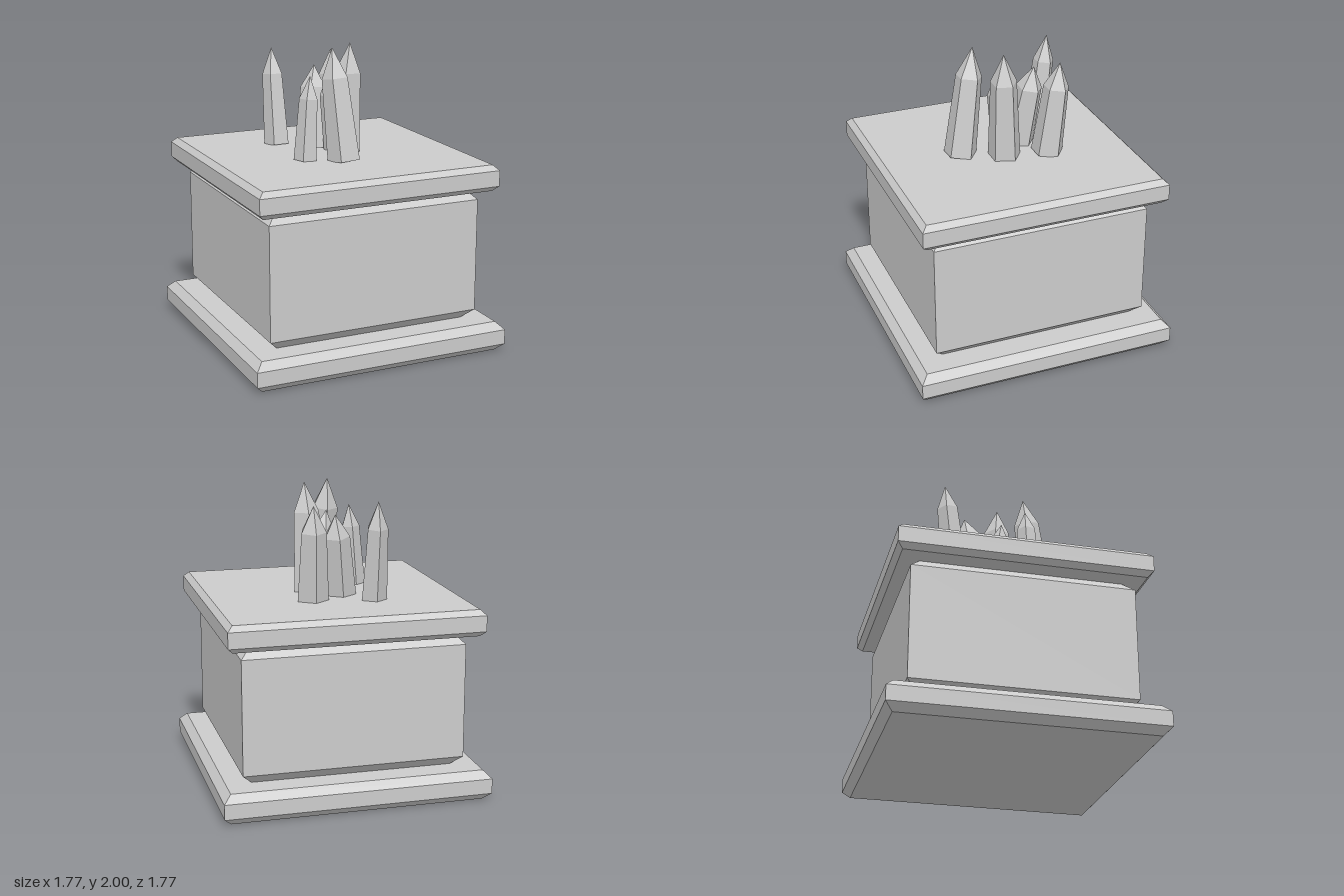
import * as THREE from 'three';

const material = new THREE.MeshStandardMaterial({ color: 0xcccccc, flatShading: true });

// Solid with a regular polygon plan, from [radius, height] pairs listed bottom to top
function facetedSolid(name, profile, sides, start) {
  const points = profile.map(([r, y]) => new THREE.Vector2(r, y));
  const mesh = new THREE.Mesh(new THREE.LatheGeometry(points, sides, start), material);
  mesh.name = name;
  return mesh;
}

// Square slab with chamfered upper and lower edges
function chamferedSlab(name, bottom, top, half, inset, rise) {
  const k = Math.SQRT2;
  return facetedSolid(name, [
    [0, bottom], [(half - inset) * k, bottom], [half * k, bottom + rise],
    [half * k, top - rise], [(half - inset) * k, top], [0, top],
  ], 4, Math.PI / 4);
}

// Five-sided tapering crystal leaning from its base centre to its tip
function crystal(base, tip, radius) {
  const from = new THREE.Vector3(...base);
  const axis = new THREE.Vector3(...tip).sub(from);
  const length = axis.length();
  const mesh = facetedSolid('crystal', [
    [0, 0], [radius, 0], [radius * 0.8, length * 0.73], [0, length],
  ], 5, Math.PI);
  mesh.position.copy(from);
  mesh.quaternion.setFromUnitVectors(new THREE.Vector3(0, 1, 0), axis.normalize());
  return mesh;
}

export function createModel() {
  const model = new THREE.Group();
  model.name = 'crystalPedestal';

  // Pedestal
  model.add(
    chamferedSlab('plinth', 0, 0.2, 0.885, 0.05, 0.05),
    chamferedSlab('pedestalBody', 0.2, 1.095, 0.735, 0.067, 0.067),
    chamferedSlab('capSlab', 1.095, 1.27, 0.835, 0.035, 0.035),
  );

  // Crystal cluster: base x, z, then tip x, y, z, then base radius
  const cluster = new THREE.Group();
  cluster.name = 'crystalCluster';
  for (const [x, z, tx, ty, tz, r] of [
    [-0.012, 0.283, -0.055, 2.0, 0.175, 0.113],
    [0.113, 0.018, 0.14, 2.0, 0.035, 0.113],
    [-0.228, -0.347, -0.235, 1.925, -0.425, 0.09],
    [0.165, -0.267, 0.174, 1.9, -0.345, 0.11],
    [-0.053, -0.145, 0.0, 1.82, -0.235, 0.112],
    [-0.24, 0.167, -0.2, 1.82, 0.15, 0.08],
    [0.08, -0.01, -0.01, 1.81, 0.03, 0.1],
  ]) cluster.add(crystal([x, 1.268, z], [tx, ty, tz], r));
  model.add(cluster);

  return model;
}
